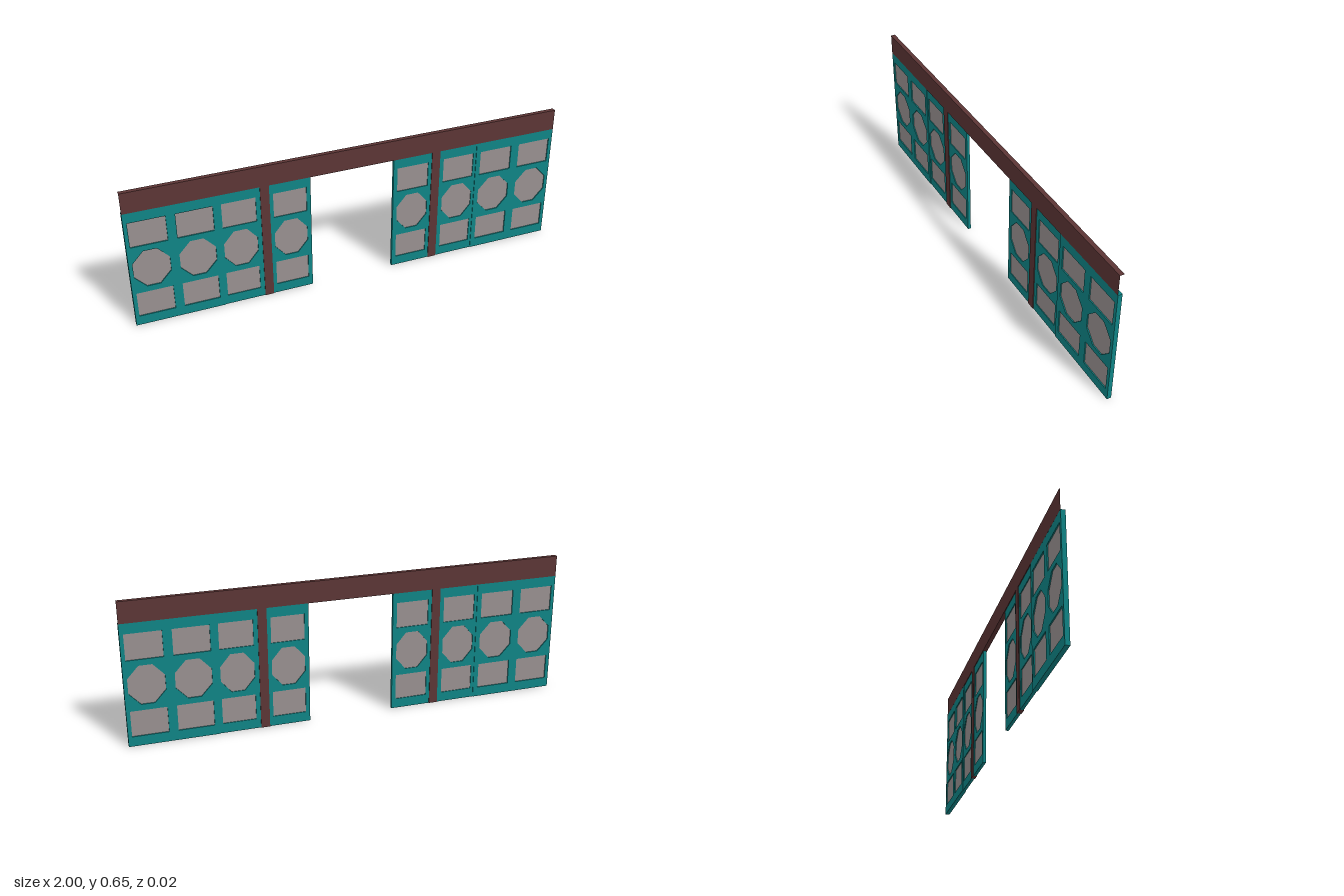
import * as THREE from 'three';

const material = (name, color) => {
  const m = new THREE.MeshStandardMaterial({ color });
  m.name = name;
  return m;
};

// Closed outline through [x, y] points
const outline = (points, Type) => new Type(points.map(([x, y]) => new THREE.Vector2(x, y)));

const rectangle = (x0, x1, y0, y1) => [[x0, y0], [x1, y0], [x1, y1], [x0, y1]];

const octagon = (cx, cy, hw, hh, flatX, flatY) => [
  [cx - flatX, cy - hh], [cx + flatX, cy - hh], [cx + hw, cy - flatY], [cx + hw, cy + flatY],
  [cx + flatX, cy + hh], [cx - flatX, cy + hh], [cx - hw, cy + flatY], [cx - hw, cy - flatY],
];

export function createModel() {
  const teal = material('teal frame', 0x0f8485);
  const brown = material('dark brown wood', 0x5c3535);
  const grey = material('grey paper', 0x989090);

  const group = new THREE.Group();
  group.name = 'screenWall';
  const panelTop = 0.557;

  const add = (name, geometry, mat, parent = group) => {
    const mesh = new THREE.Mesh(geometry, mat);
    mesh.name = name;
    parent.add(mesh);
    return mesh;
  };

  // Frame pierced by two rectangles and an octagon per column, with paper set inside
  const addPanel = (name, x0, x1, centres, halfWidth, depth) => {
    const panel = new THREE.Group();
    panel.name = name;
    const shape = outline(rectangle(x0, x1, 0, panelTop), THREE.Shape);
    for (const cx of centres) {
      const a = cx - halfWidth, b = cx + halfWidth;
      shape.holes.push(
        outline(rectangle(a, b, 0.045, 0.163), THREE.Path),
        outline(octagon(cx, 0.278, halfWidth, 0.088, 0.029, 0.034), THREE.Path),
        outline(rectangle(a, b, 0.393, 0.511), THREE.Path),
      );
    }
    const frame = new THREE.ExtrudeGeometry(shape, { depth, bevelEnabled: false });
    frame.translate(0, 0, -depth / 2);
    add('frame', frame, teal, panel);

    const paper = new THREE.BoxGeometry(x1 - x0 - 0.01, panelTop - 0.04, depth * 0.5);
    paper.translate((x0 + x1) / 2, panelTop / 2, 0);
    add('paper', paper, grey, panel);
    group.add(panel);
  };

  for (const [side, s] of [['left', 1], ['right', -1]]) {
    const panel = (name, a, b, centres, halfWidth, depth) => addPanel(
      side + name, Math.min(s * a, s * b), Math.max(s * a, s * b),
      centres.map((c) => s * c), halfWidth, depth);
    panel('OuterPanel', 0.605, 1, [0.904, 0.706], 0.079, 0.0196);
    panel('MiddlePanel', 0.42, 0.605, [0.516], 0.075, 0.014);
    panel('DoorPanel', 0.195, 0.382, [0.289], 0.075, 0.014);

    // Post between the fixed panels and the door
    const post = new THREE.BoxGeometry(0.04, panelTop, 0.0198);
    add(side + 'Post', post, brown).position.set(s * 0.401, panelTop / 2, 0);
  }

  // Header beam, open at both ends
  const beam = new THREE.BoxGeometry(2, 0.096, 0.02);
  beam.setIndex(Array.from(beam.index.array).slice(12));
  beam.clearGroups();
  add('headerBeam', beam, brown).position.set(0, 0.605, 0);

  return group;
}
